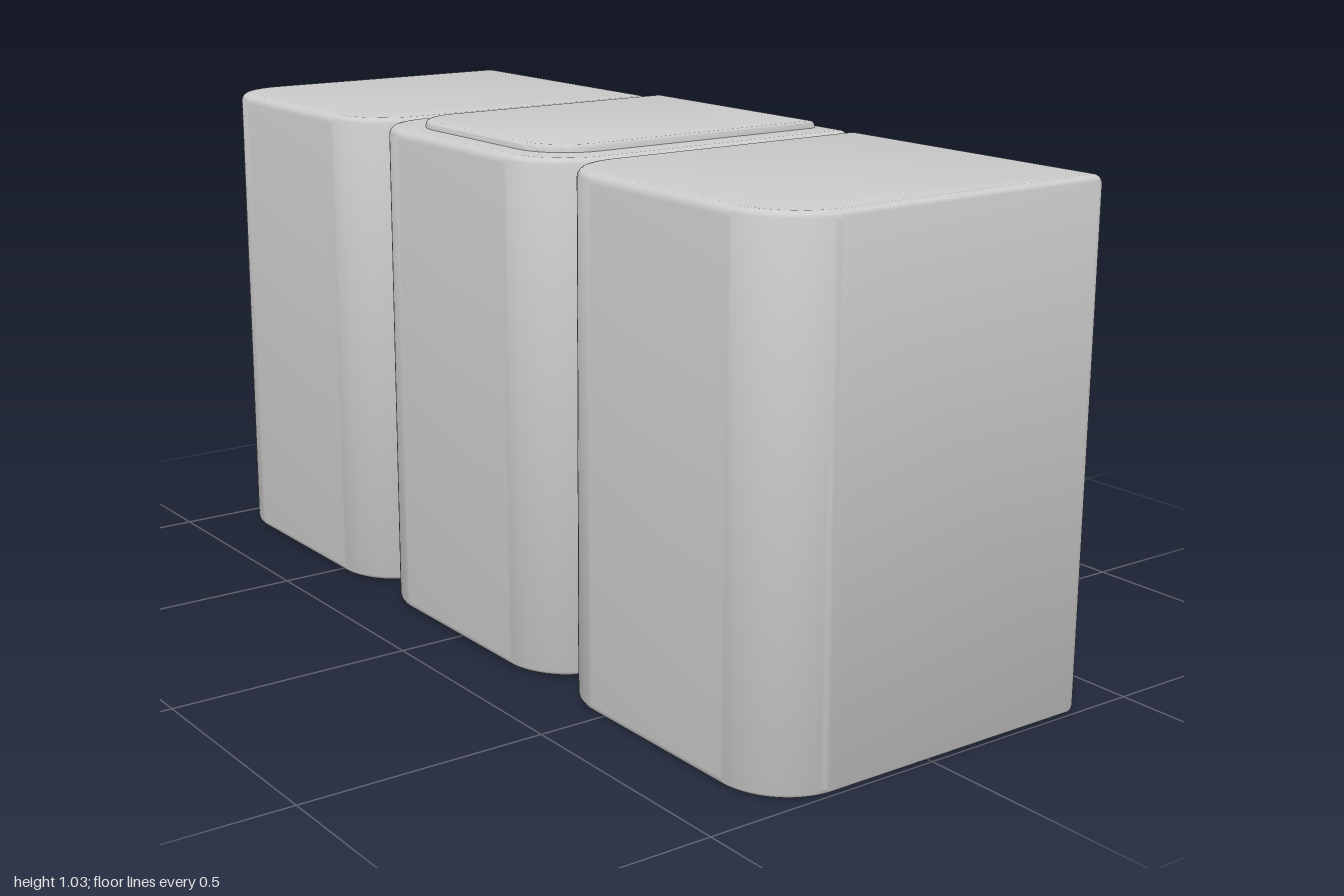
import * as THREE from 'three';
import { toCreasedNormals } from 'three/addons/utils/BufferGeometryUtils.js';

// Upright block with large front corners, small back corners and softened rims
function roundedBlock({ width, back, front, bottom, top, frontR, backR, bevel }) {
  const x = width / 2 - bevel;
  const f = -(front - bevel); // shape -y becomes +z after the turn
  const b = -(back + bevel);
  const R = frontR - bevel;
  const r = backR - bevel;
  const s = new THREE.Shape();
  s.moveTo(-x + R, f);
  s.lineTo(x - R, f);
  s.absarc(x - R, f + R, R, -Math.PI / 2, 0, false);
  s.lineTo(x, b - r);
  s.absarc(x - r, b - r, r, 0, Math.PI / 2, false);
  s.lineTo(-x + r, b);
  s.absarc(-x + r, b - r, r, Math.PI / 2, Math.PI, false);
  s.lineTo(-x, f + R);
  s.absarc(-x + R, f + R, R, Math.PI, Math.PI * 1.5, false);
  const geo = new THREE.ExtrudeGeometry(s, {
    depth: top - bottom - 2 * bevel,
    bevelThickness: bevel,
    bevelSize: bevel,
    bevelSegments: 4,
    curveSegments: 10,
  });
  geo.rotateX(-Math.PI / 2);
  geo.translate(0, bottom + bevel, 0);
  return toCreasedNormals(geo, 0.7);
}

export function createModel() {
  const group = new THREE.Group();
  const material = new THREE.MeshStandardMaterial({ color: 0xcccccc });

  // Three identical blocks side by side
  const blockGeo = roundedBlock({
    width: 0.664, back: -0.37, front: 0.37, bottom: 0, top: 1.017,
    frontR: 0.14, backR: 0.022, bevel: 0.017,
  });
  ['rightBlock', 'middleBlock', 'leftBlock'].forEach((name, i) => {
    const block = new THREE.Mesh(blockGeo, material);
    block.name = name;
    block.position.x = (i - 1) * 0.668;
    group.add(block);
  });

  // Thin raised lid on the middle block
  const lid = new THREE.Mesh(roundedBlock({
    width: 0.526, back: -0.337, front: 0.312, bottom: 0.99, top: 1.031,
    frontR: 0.11, backR: 0.012, bevel: 0.01,
  }), material);
  lid.name = 'lid';
  group.add(lid);

  return group;
}
